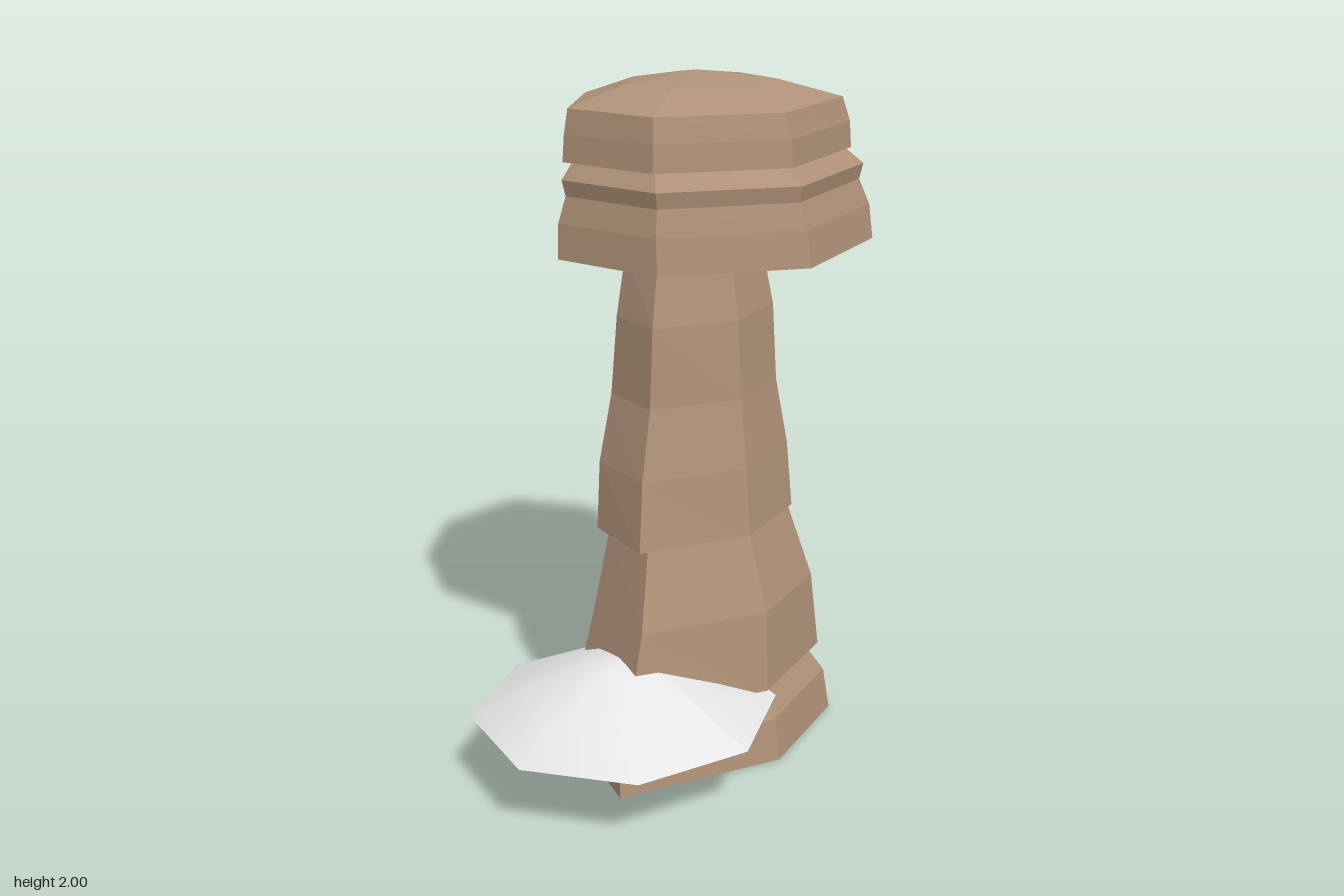
import * as THREE from 'three';

const SIDES = 7;
// Seven corners as fractions of a layer's x and z extents, from +x towards +z
const CORNERS = [[1, 0.47], [0.86, 0.91], [0.37, 1], [0, 0.68], [0, 0.26], [0.37, 0], [0.83, 0.05]];
const SPUR = 3; // this corner has its own x, as the stone bulges towards the mound

// A layer is [y, xMin, xMax, zMin, zMax, spurX]
function ring([y, x0, x1, z0, z1, spurX = x0]) {
  return CORNERS.map(([u, v], i) => [
    i === SPUR ? spurX : x0 + u * (x1 - x0), y, z0 + v * (z1 - z0)]);
}

function loft(layers) {
  const rings = layers.map(ring);
  const pos = [];
  for (let r = 0; r < rings.length - 1; r++) {
    for (let i = 0; i < SIDES; i++) {
      const j = (i + 1) % SIDES;
      const a = rings[r][i], b = rings[r][j], c = rings[r + 1][j], d = rings[r + 1][i];
      pos.push(...a, ...d, ...c, ...a, ...c, ...b);
    }
  }
  const geo = new THREE.BufferGeometry();
  geo.setAttribute('position', new THREE.Float32BufferAttribute(pos, 3));
  geo.computeVertexNormals();
  return geo;
}

export function createModel() {
  const stone = new THREE.MeshStandardMaterial({ color: 0xb09278, flatShading: true, side: THREE.DoubleSide });
  stone.name = 'brownStone';
  const pale = new THREE.MeshStandardMaterial({ color: 0xe6e6e6, side: THREE.DoubleSide });
  pale.name = 'paleGrey';

  // Stacked tiers; each one starts where the tier below ends
  const tiers = {
    base: [
      [0, -0.18, 0.59, -0.41, 0.33, -0.36],
      [0.13, -0.17, 0.575, -0.405, 0.31, -0.35],
      [0.24, -0.13, 0.5, -0.36, 0.25, -0.25],
    ],
    lowerShaft: [
      [0.24, -0.21, 0.53, -0.36, 0.31, -0.32],
      [0.48, -0.16, 0.49, -0.315, 0.29, -0.26],
      [0.7, -0.11, 0.43, -0.27, 0.22, -0.19],
    ],
    upperShaft: [
      [0.7, -0.13, 0.46, -0.31, 0.22, -0.21],
      [0.9, -0.11, 0.45, -0.31, 0.2, -0.18],
      [1.1, -0.07, 0.41, -0.28, 0.17, -0.13],
      [1.33, -0.06, 0.4, -0.255, 0.155, -0.115],
      [1.51, -0.03, 0.37, -0.23, 0.12, -0.07],
    ],
    head: [
      [1.51, -0.215, 0.69, -0.445, 0.385],
      [1.61, -0.21, 0.685, -0.44, 0.37],
      [1.685, -0.195, 0.65, -0.41, 0.345],
      [1.73, -0.205, 0.66, -0.42, 0.355],
      [1.775, -0.175, 0.615, -0.385, 0.305],
    ],
    cap: [
      [1.775, -0.185, 0.635, -0.425, 0.32],
      [1.85, -0.18, 0.63, -0.42, 0.315],
      [1.92, -0.17, 0.61, -0.405, 0.295],
      [1.972, 0, 0.43, -0.26, 0.13],
      [2, 0.21, 0.21, -0.07, -0.07, 0.21],
    ],
  };

  const model = new THREE.Group();
  model.name = 'rockPillar';
  let last = null;
  for (const [name, layers] of Object.entries(tiers)) {
    const mesh = new THREE.Mesh(loft(last ? [last, ...layers] : layers), stone);
    mesh.name = name;
    model.add(mesh);
    last = layers[layers.length - 1];
  }

  // Low eight-sided mound against the foot
  const profile = [[1, 0.215], [0.65, 0.29], [0.28, 0.36], [0, 0.38]];
  const mound = new THREE.Mesh(
    new THREE.LatheGeometry(profile.map(([r, y]) => new THREE.Vector2(r, y)), 8), pale);
  mound.name = 'mound';
  mound.geometry.scale(0.46, 1, 0.435);
  mound.geometry.translate(-0.23, 0, 0.01);
  mound.geometry.computeVertexNormals();
  model.add(mound);

  return model;
}
